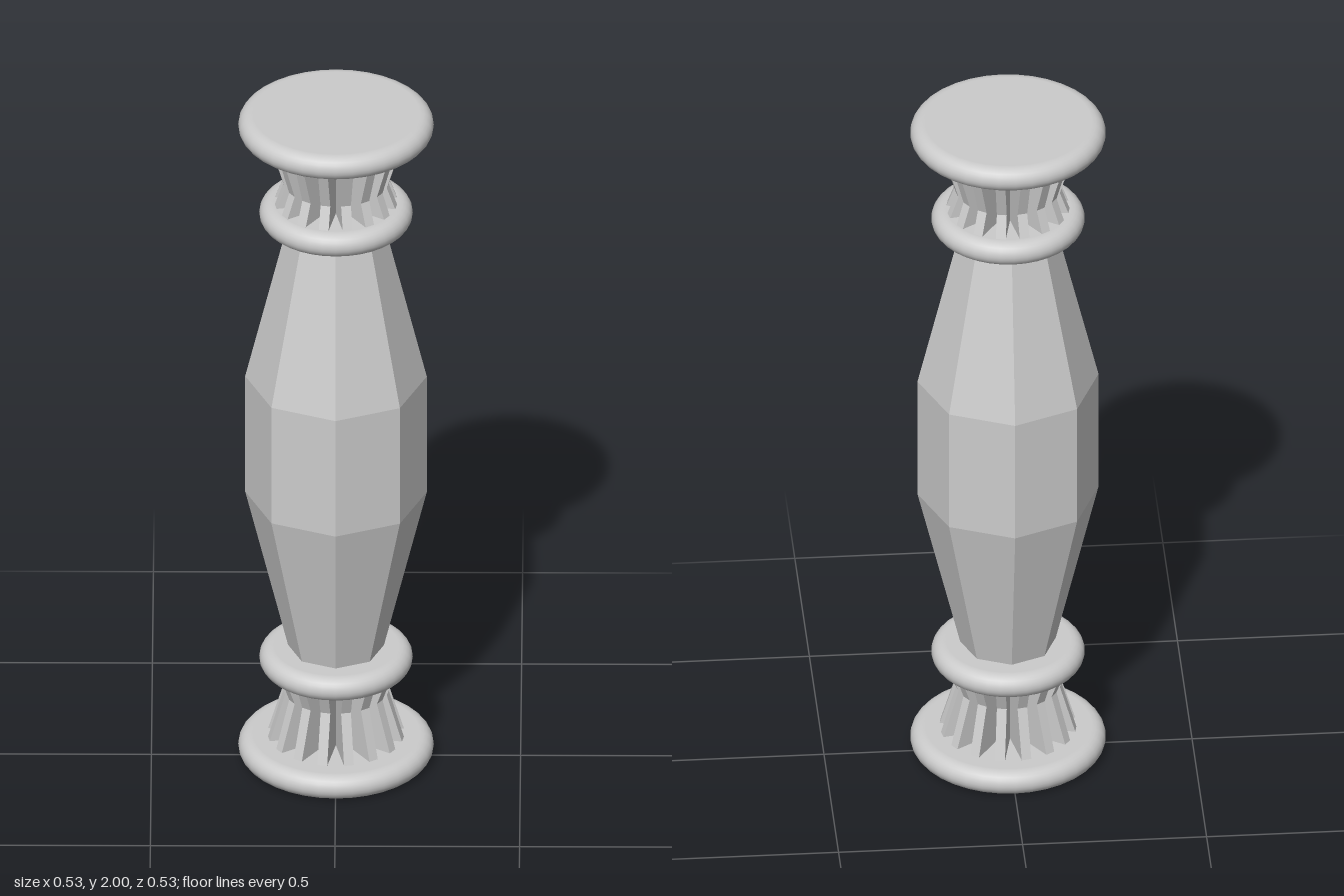
import * as THREE from 'three';

const smooth = new THREE.MeshStandardMaterial({ color: 0xcccccc });
const faceted = new THREE.MeshStandardMaterial({ color: 0xcccccc, flatShading: true });

// Disc with a fully rounded rim, centred on its own origin
function roundedDisc(name, radius, half, y) {
  const points = [new THREE.Vector2(0, -half), new THREE.Vector2(radius - half - 0.004, -half)];
  for (let i = 0; i <= 12; i++) {
    const a = -Math.PI / 2 + (Math.PI * i) / 12;
    points.push(new THREE.Vector2(radius - half + Math.cos(a) * half, Math.sin(a) * half));
  }
  points.push(new THREE.Vector2(radius - half - 0.004, half), new THREE.Vector2(0, half));
  const mesh = new THREE.Mesh(new THREE.LatheGeometry(points, 36), smooth);
  mesh.name = name;
  mesh.position.y = y;
  return mesh;
}

// Waisted neck made of bent fins radiating from the axis
function flutedNeck(name, flip) {
  const neck = new THREE.Group();
  neck.name = name;
  const count = 16, width = 0.027;
  const profile = [[0, 0.04], [0.194, 0.04], [0.143, 0.21], [0.18, 0.31], [0, 0.31]]
    .map(([r, y]) => new THREE.Vector2(r, flip ? 2 - y : y));
  const fin = new THREE.ExtrudeGeometry(new THREE.Shape(profile), { depth: width, bevelEnabled: false });
  fin.translate(0, 0, -width / 2);
  for (let i = 0; i < count; i++) {
    const mesh = new THREE.Mesh(fin, faceted);
    mesh.name = 'fin';
    mesh.rotation.y = ((i + 0.5) * Math.PI * 2) / count;
    neck.add(mesh);
  }
  return neck;
}

export function createModel() {
  const model = new THREE.Group();
  model.name = 'baluster';

  // Eight-sided shaft, widest in the middle
  const shaftProfile = [[0, 0.31], [0.122, 0.31], [0.246, 0.82], [0.246, 1.18], [0.122, 1.69], [0, 1.69]]
    .map(([r, y]) => new THREE.Vector2(r, y));
  const shaft = new THREE.Mesh(new THREE.LatheGeometry(shaftProfile, 8), faceted);
  shaft.name = 'shaft';
  model.add(shaft);

  // Matching end pieces at the bottom and top
  for (const flip of [false, true]) {
    const end = flip ? 'top' : 'bottom';
    const at = (y) => (flip ? 2 - y : y);
    model.add(
      roundedDisc(end + 'Plate', 0.265, 0.035, at(0.035)),
      roundedDisc(end + 'Collar', 0.208, 0.035, at(0.308)),
      flutedNeck(end + 'Neck', flip)
    );
  }
  return model;
}
